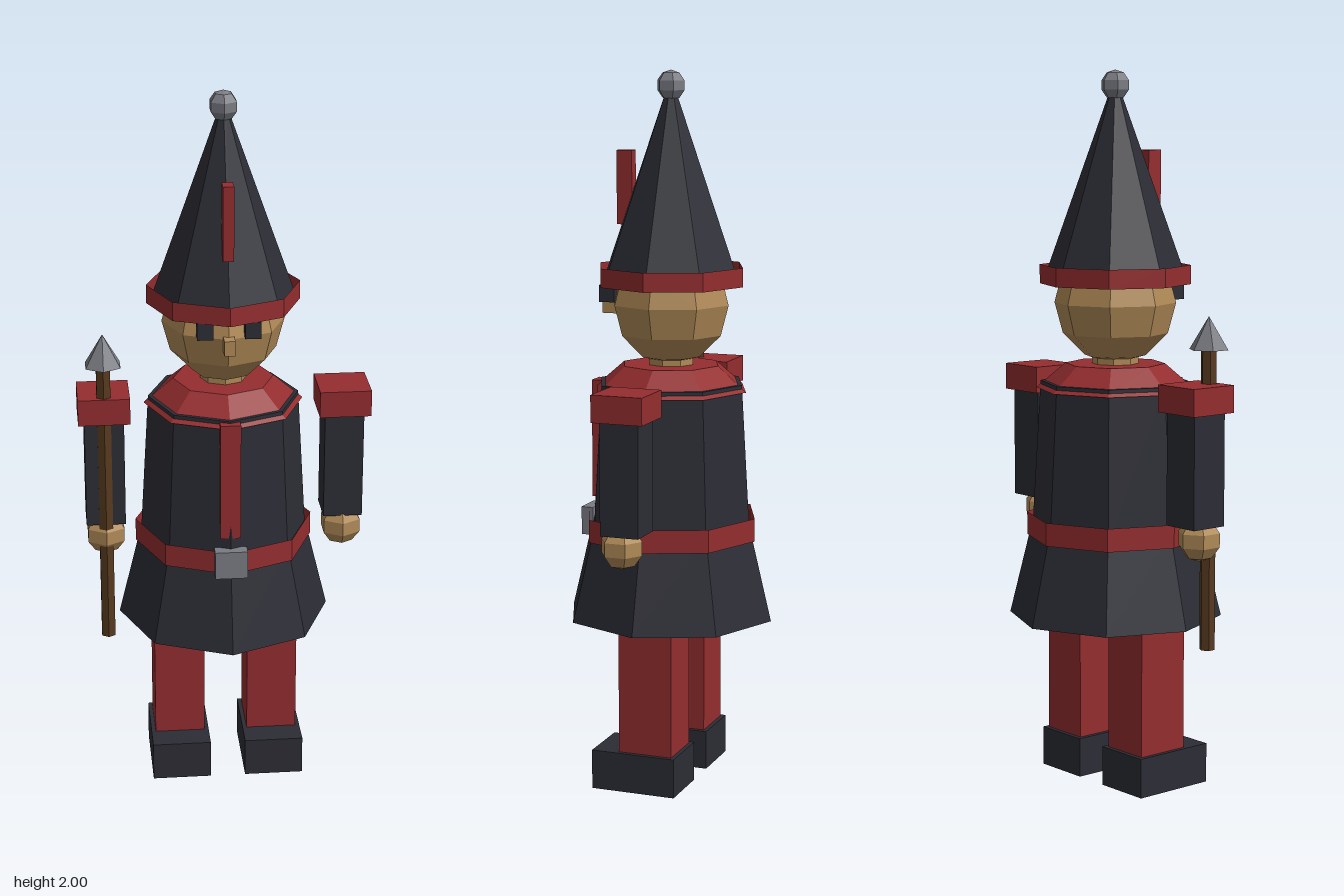
import * as THREE from 'three';

export function createModel() {
  const root = new THREE.Group();
  const mat = (name, color, extra = {}) => {
    const m = new THREE.MeshStandardMaterial({ color, flatShading: true, ...extra });
    m.name = name;
    return m;
  };
  const cloth = mat('dark cloth', 0x2c2d35);
  const red = mat('red trim', 0x942d2f, { side: THREE.DoubleSide });
  const skin = mat('skin', 0xb08a57);
  const metal = mat('grey metal', 0x7a7c83);
  const wood = mat('brown wood', 0x573a20);

  const add = (name, geo, material, x = 0, y = 0, z = 0) => {
    const mesh = new THREE.Mesh(geo, material);
    mesh.name = name;
    mesh.position.set(x, y, z);
    root.add(mesh);
    return mesh;
  };
  // box given by its extents
  const box = (name, m, x0, x1, y0, y1, z0, z1) =>
    add(name, new THREE.BoxGeometry(x1 - x0, y1 - y0, z1 - z0), m,
      (x0 + x1) / 2, (y0 + y1) / 2, (z0 + z1) / 2);
  // faceted frustum between two heights
  const frustum = (name, m, rBottom, rTop, y0, y1, sides = 8, open = false, x = 0, z = 0) =>
    add(name, new THREE.CylinderGeometry(rTop, rBottom, y1 - y0, sides, 1, open), m, x, (y0 + y1) / 2, z);
  // six-sided ball with corners pointing front and back
  const ball = (name, m, r, x, y, z) => {
    add(name, new THREE.SphereGeometry(r, 6, 5), m, x, y, z).rotation.y = Math.PI / 2;
  };

  // coat
  frustum('coatSkirt', cloth, 0.3, 0.235, 0.475, 0.74);
  frustum('torso', cloth, 0.235, 0.21, 0.72, 1.14);
  frustum('belt', red, 0.25, 0.25, 0.7, 0.765, 8, true);
  frustum('collar', red, 0.222, 0.14, 1.12, 1.19);
  box('coatStripe', red, -0.028, 0.028, 0.8, 1.135, 0.19, 0.228);
  box('buckle', metal, -0.045, 0.045, 0.69, 0.77, 0.22, 0.255);

  // head
  frustum('neck', skin, 0.065, 0.065, 1.14, 1.25);
  add('head', new THREE.SphereGeometry(0.17, 8, 6), skin, 0, 1.36, 0);
  box('nose', skin, -0.015, 0.015, 1.325, 1.367, 0.15, 0.2);

  // pointed hat
  frustum('hat', cloth, 0.204, 0.012, 1.412, 1.95);
  frustum('hatBand', red, 0.211, 0.211, 1.412, 1.465, 8, true);
  box('plume', red, -0.015, 0.015, 1.575, 1.78, 0.11, 0.155);
  ball('hatBobble', metal, 0.042, 0, 1.958, 0);

  // paired parts
  for (const s of [-1, 1]) {
    const pair = (name, m, a, b, ...rest) =>
      box(name, m, Math.min(s * a, s * b), Math.max(s * a, s * b), ...rest);
    pair('eye', cloth, 0.043, 0.086, 1.365, 1.412, 0.135, 0.18);
    pair('leg', red, 0.062, 0.205, 0.1, 0.52, -0.078, 0.078);
    pair('boot', cloth, 0.05, 0.217, 0, 0.112, -0.09, 0.155);
    pair('arm', cloth, 0.28, 0.39, 0.775, 1.1, -0.055, 0.055);
    pair('epaulette', red, 0.263, 0.407, 1.085, 1.16, -0.073, 0.073);
    ball('hand', skin, 0.062, s * 0.335, 0.737, 0.014);
  }

  // spear
  frustum('spearShaft', wood, 0.022, 0.022, 0.425, 1.27, 6, false, -0.335, 0.046);
  frustum('spearTip', metal, 0.055, 0, 1.252, 1.342, 6, false, -0.335, 0.046);

  return root;
}
